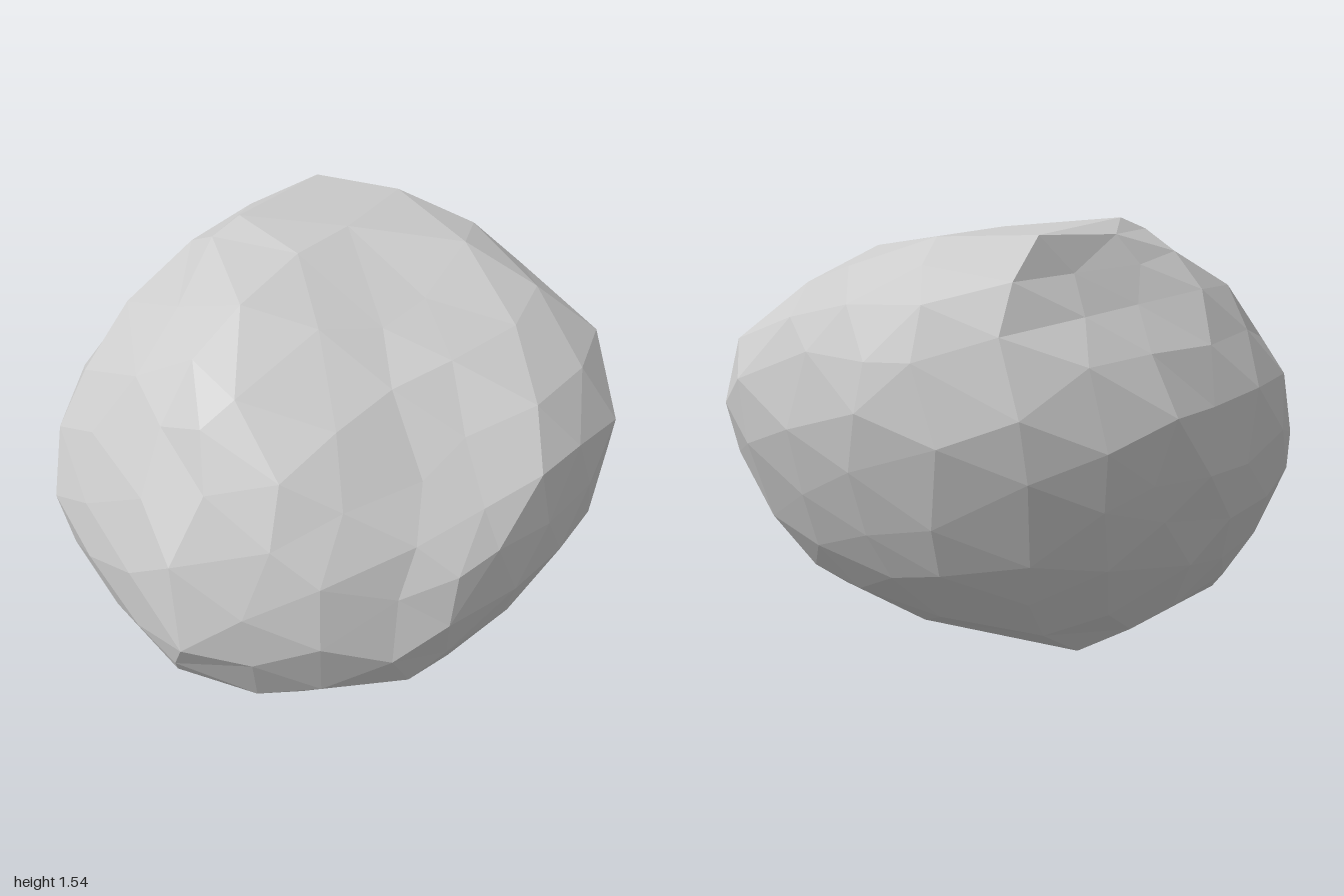
import * as THREE from 'three';
import { mergeVertices } from 'three/addons/utils/BufferGeometryUtils.js';

// Plan outline: radius every 15 degrees, from +x towards +z
const OUTLINE = [0.915, 0.89, 0.89, 0.9, 0.89, 0.93, 1, 0.965, 0.97, 1.07, 1.03, 0.97,
  0.94, 0.945, 0.935, 0.965, 0.975, 0.995, 1, 1.015, 1.06, 1.1, 1.07, 0.97];

// Horizontal sections: y, xMin, xMax, zMin, zMax
const SECTIONS = [
  [0, -0.57, 0.15, -0.33, 0.53],
  [0.05, -0.63, 0.5, -0.48, 0.7],
  [0.1, -0.67, 0.7, -0.57, 0.79],
  [0.2, -0.73, 0.8, -0.69, 0.9],
  [0.4, -0.85, 0.87, -0.84, 0.98],
  [0.5, -0.89, 0.92, -0.89, 1.01],
  [0.6, -0.92, 0.95, -0.93, 0.99],
  [0.8, -0.95, 0.95, -0.99, 0.94],
  [0.95, -0.95, 0.94, -1.01, 0.85],
  [1.1, -0.87, 0.86, -0.98, 0.75],
  [1.25, -0.78, 0.65, -0.93, 0.67],
  [1.35, -0.71, 0.49, -0.87, 0.49],
  [1.45, -0.61, 0.25, -0.8, 0.28],
  [1.51, -0.54, -0.1, -0.72, 0.1],
  [1.54, -0.5, -0.4, -0.2, 0.05],
];

// Hollows: centre, radius, and the push at the centre
const HOLLOWS = [
  { at: [0.25, 1.38, -0.05], radius: 0.45, push: [-0.02, -0.08, 0] },     // sloping top
  { at: [0.58, 1.08, 0.32], radius: 0.42, push: [-0.07, -0.08, -0.06] },  // front shoulder
  { at: [0.66, 1.15, -0.4], radius: 0.22, push: [-0.03, -0.04, 0] },      // side ledge
  { at: [0.64, 0.72, 0.6], radius: 0.22, push: [-0.05, 0, -0.05] },       // front groove
  { at: [-0.64, 1.34, -0.4], radius: 0.27, push: [0.06, -0.06, 0] },      // shoulder cleft
  { at: [-0.92, 1, -0.2], radius: 0.2, push: [0.04, -0.02, 0] },          // flank ledge
  { at: [-0.4, 0, 0.12], radius: 0.42, push: [0.03, 0.09, 0] },           // gap under the base
];

function outlineRadius(angle) {
  const n = OUTLINE.length;
  const t = ((angle / (2 * Math.PI)) * n + n) % n;
  const i = Math.floor(t);
  return THREE.MathUtils.lerp(OUTLINE[i % n], OUTLINE[(i + 1) % n], t - i);
}

function sectionAt(y) {
  let i = 0;
  while (i < SECTIONS.length - 2 && SECTIONS[i + 1][0] < y) i++;
  const a = SECTIONS[i], b = SECTIONS[i + 1];
  const t = (y - a[0]) / (b[0] - a[0]);
  return a.map((v, k) => THREE.MathUtils.lerp(v, b[k], t));
}

function seeded(seed) {
  return () => {
    seed = (seed * 16807) % 2147483647;
    return seed / 2147483647 - 0.5;
  };
}

function rockGeometry() {
  // Faceted ball with shared corners
  const ball = new THREE.IcosahedronGeometry(1, 3);
  ball.deleteAttribute('normal');
  ball.deleteAttribute('uv');
  const geometry = mergeVertices(ball, 1e-4);
  const pos = geometry.attributes.position;
  const random = seeded(4217);
  const p = new THREE.Vector3(), centre = new THREE.Vector3(), push = new THREE.Vector3();

  for (let i = 0; i < pos.count; i++) {
    // Uneven facets
    p.fromBufferAttribute(pos, i);
    p.x += random() * 0.1;
    p.y += random() * 0.1;
    p.z += random() * 0.1;
    p.normalize();

    // Fit the corner to the section at its height, closing in at the poles
    const y = Math.max(0, 0.79 * (1 + p.y) - 0.04);
    const [, x0, x1, z0, z1] = sectionAt(y);
    const angle = Math.atan2(p.z, p.x);
    const r = outlineRadius(angle) * Math.min(1, Math.hypot(p.x, p.z) / 0.22);
    p.set(
      (x0 + x1) / 2 + ((x1 - x0) / 2) * (r * Math.cos(angle)) / 0.94,
      y,
      (z0 + z1) / 2 + ((z1 - z0) / 2) * r * Math.sin(angle),
    );

    // Tilt the underside up towards +x
    p.y += (0.1 * Math.max(0, p.x + 0.45) - 0.02) * Math.max(0, 1 - y / 0.3);

    // Press in the hollows
    for (const h of HOLLOWS) {
      const d = p.distanceTo(centre.fromArray(h.at)) / h.radius;
      if (d < 1) p.addScaledVector(push.fromArray(h.push), (1 - d * d) ** 1.3);
    }
    pos.setXYZ(i, p.x, p.y, p.z);
  }

  // Settle on the ground, centred
  geometry.computeBoundingBox();
  const box = geometry.boundingBox;
  const mid = box.getCenter(new THREE.Vector3());
  geometry.translate(-mid.x, -box.min.y, -mid.z);

  const faceted = geometry.toNonIndexed();
  faceted.computeVertexNormals();
  return faceted;
}

export function createModel() {
  const group = new THREE.Group();
  group.name = 'boulder';
  const material = new THREE.MeshStandardMaterial({ color: 0xcccccc, flatShading: true });
  const rock = new THREE.Mesh(rockGeometry(), material);
  rock.name = 'rock';
  group.add(rock);
  return group;
}
